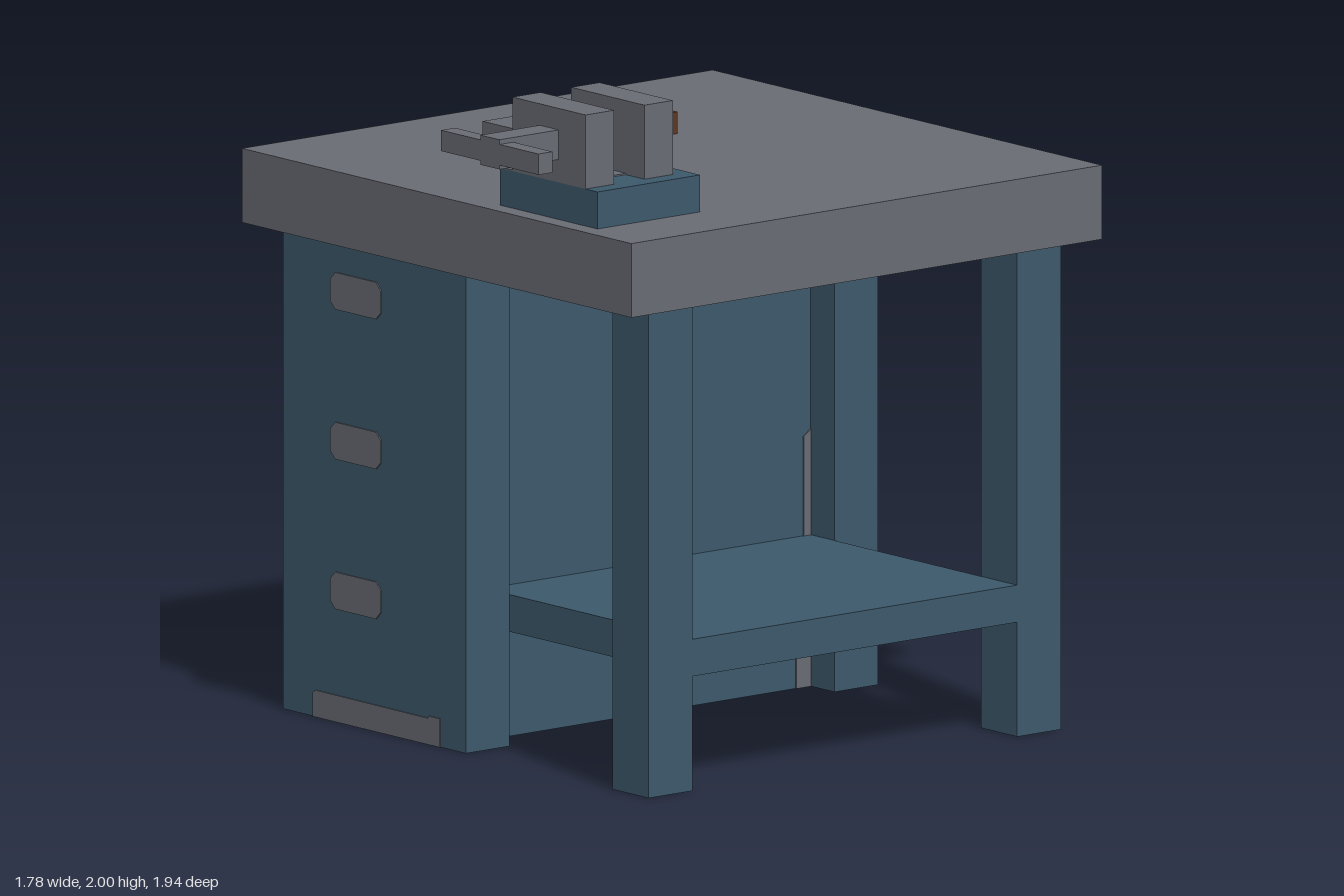
import * as THREE from 'three';

const mat = (name, color) => {
  const m = new THREE.MeshStandardMaterial({ color });
  m.name = name;
  return m;
};

export function createModel() {
  const steel = mat('steel grey', 0x6a6c75);
  const blue = mat('painted blue', 0x3c596b);
  const wood = mat('handle brown', 0x5e3820);
  const model = new THREE.Group();
  model.name = 'workbench';

  const group = (name) => {
    const g = new THREE.Group();
    g.name = name;
    model.add(g);
    return g;
  };
  // Box given by its extents on each axis
  const box = (parent, name, m, [x0, x1], [y0, y1], [z0, z1]) => {
    const mesh = new THREE.Mesh(new THREE.BoxGeometry(x1 - x0, y1 - y0, z1 - z0), m);
    mesh.position.set((x0 + x1) / 2, (y0 + y1) / 2, (z0 + z1) / 2);
    mesh.name = name;
    parent.add(mesh);
    return mesh;
  };
  // Thin painted plate cut from an outline in the xy plane
  const T = 0.004;
  const plate = (parent, name, points) => {
    const shape = new THREE.Shape(points.map(([x, y]) => new THREE.Vector2(x, y)));
    const mesh = new THREE.Mesh(new THREE.ExtrudeGeometry(shape, { depth: T, bevelEnabled: false }), steel);
    mesh.name = name;
    parent.add(mesh);
    return mesh;
  };

  const FRONT = 0.695, BACK = -0.86, LEG = 0.165, TOP = 1.45, DECK = 1.67, WALL = -0.11;
  const inner = [BACK + LEG, FRONT - LEG];

  // Table top
  box(model, 'tableTop', steel, [-0.89, 0.89], [TOP, DECK], [-0.97, 0.805]);

  // Legs and shelf
  for (const [side, z] of [['front', FRONT - LEG], ['back', BACK]]) {
    box(model, side + 'Leg', blue, [0.67, 0.835], [0, TOP], [z, z + LEG]);
  }
  box(model, 'shelf', blue, [WALL, 0.835], [0.34, 0.45], inner);

  // Drawer cabinet: recessed body between full-width end frames
  const cabinet = group('cabinet');
  box(cabinet, 'cabinetBody', blue, [-0.835, WALL], [0, TOP], inner);
  box(cabinet, 'cabinetFront', blue, [-0.835, 0], [0, TOP], [FRONT - LEG, FRONT]);
  box(cabinet, 'cabinetBack', blue, [-0.835, 0], [0, TOP], [BACK, BACK + LEG]);

  // Drawer pulls with clipped corners
  const c = 0.022, hw = 0.115, hh = 0.055;
  for (const y of [0.39, 0.835, 1.28]) {
    plate(cabinet, 'drawerPull', [
      [-hw + c, -hh], [hw - c, -hh], [hw, -hh + c], [hw, hh - c],
      [hw - c, hh], [-hw + c, hh], [-hw, hh - c], [-hw, -hh + c],
    ]).position.set(-0.5, y, FRONT);
  }
  plate(cabinet, 'kickPlate', [
    [-0.695, 0], [-0.115, 0], [-0.115, 0.085], [-0.165, 0.085], [-0.17, 0.078], [-0.685, 0.08], [-0.695, 0.07],
  ]).position.z = FRONT;

  // Worn metal strips on the inner cabinet wall; outline x is -z after turning
  const strips = [
    [[-0.53, 1.45], [-0.53, 1.14], [-0.505, 1.155], [-0.505, 1.45]],
    [[-0.53, 0.45], [-0.505, 0.45], [-0.505, 0.75], [-0.53, 0.765]],
    [[-0.53, 0], [-0.475, 0], [-0.475, 0.1], [-0.505, 0.145], [-0.505, 0.34], [-0.53, 0.34]],
    [[0.695, 1.45], [0.667, 1.45], [0.667, 1.26], [0.695, 1.245]],
    [[0.695, 0.45], [0.695, 0.765], [0.667, 0.745], [0.667, 0.45]],
    [[0.695, 0], [0.695, 0.34], [0.667, 0.34], [0.667, 0.14], [0.64, 0.1], [0.64, 0]],
  ];
  for (const s of strips) {
    const strip = plate(cabinet, 'wallStrip', s);
    strip.rotation.y = Math.PI / 2;
    strip.position.x = WALL;
  }

  // Bench vise
  const vise = group('vise');
  box(vise, 'viseBase', blue, [0.22, 0.665], [DECK, 1.78], [0.36, 0.747]);
  box(vise, 'rearJaw', steel, [0.275, 0.61], [1.78, 2], [0.418, 0.525]);
  box(vise, 'frontJaw', steel, [0.275, 0.61], [1.78, 2], [0.64, 0.747]);
  box(vise, 'slidePlate', steel, [0.36, 0.525], [1.78, 1.78 + T], [0.525, 0.64]);
  for (const z of [[0.443, 0.497], [0.663, 0.747]]) {
    box(vise, 'basePlate', steel, [0.22, 0.275], [1.78, 1.78 + T], z);
  }
  box(vise, 'screw', steel, [0.4, 0.487], [1.848, 1.936], [0.747, 0.97]);
  for (const x of [[0.22, 0.4], [0.487, 0.665]]) {
    box(vise, 'viseHandle', steel, x, [1.86, 1.922], [0.917, 0.97]);
  }

  // Hammer
  const hammer = group('hammer');
  box(hammer, 'hammerHead', steel, [-0.335, -0.115], [DECK, 1.78], [0.247, 0.356]);
  box(hammer, 'hammerHandle', wood, [-0.315, -0.247], [DECK, 1.735], [-0.307, 0.247]);

  return model;
}
